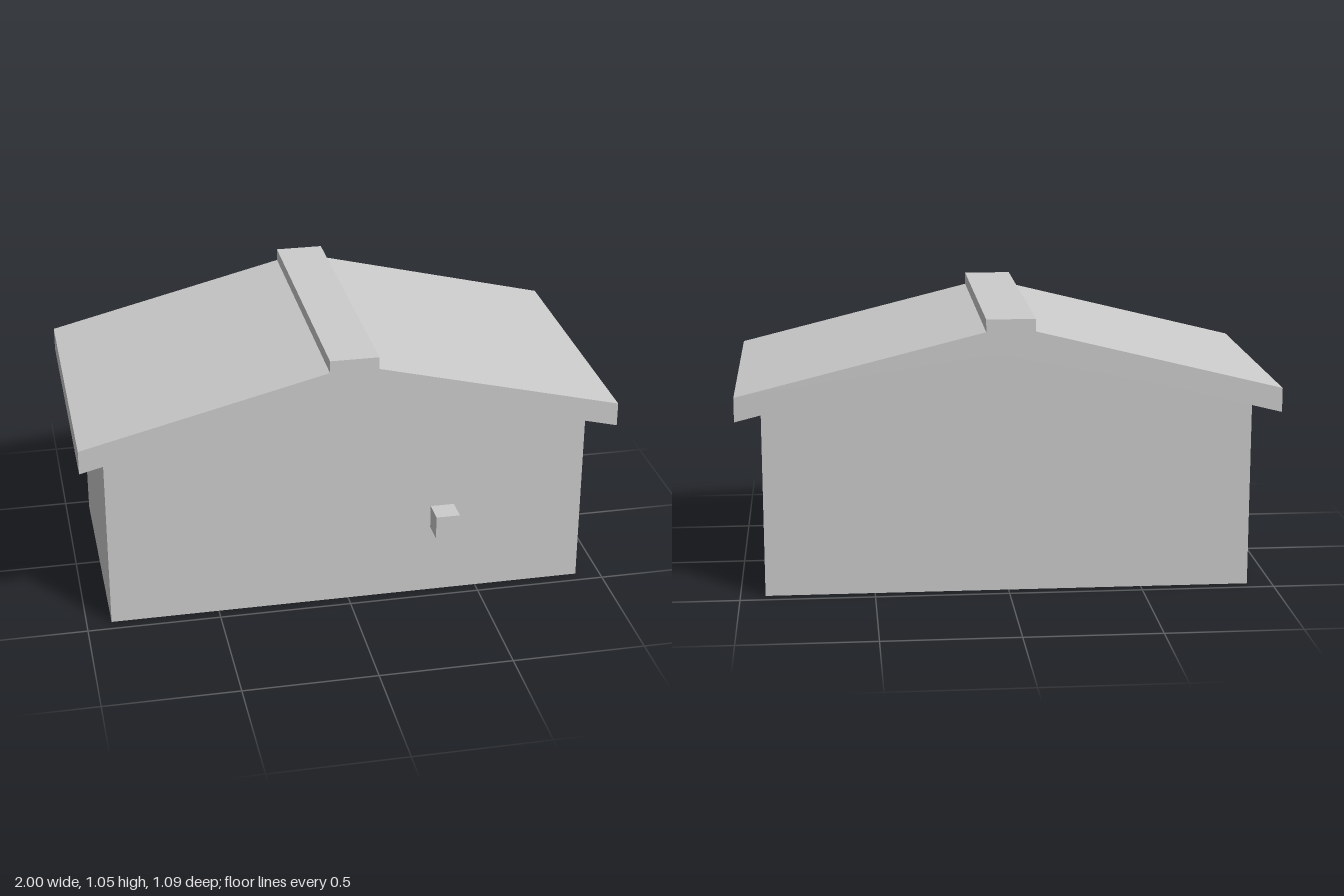
import * as THREE from 'three';

const material = new THREE.MeshStandardMaterial({ color: 0xcccccc, flatShading: true });

// Extrudes the right half of an outline, mirrored about x = 0, centred on z = 0
function gableSolid(name, half, depth) {
  const mirrored = half.map(([x, y]) => [-x, y]).reverse();
  const shape = new THREE.Shape([...half, ...mirrored].map(([x, y]) => new THREE.Vector2(x, y)));
  const geometry = new THREE.ExtrudeGeometry(shape, { depth, bevelEnabled: false });
  geometry.translate(0, 0, -depth / 2);
  const mesh = new THREE.Mesh(geometry, material);
  mesh.name = name;
  return mesh;
}

export function createModel() {
  const group = new THREE.Group();
  group.name = 'house';

  // Walls, with gables rising to the underside of the roof
  group.add(gableSolid('walls', [[0.907, 0], [0.907, 0.708], [0.09, 0.912]], 0.907));

  // Overhanging roof slab with a raised ridge cap
  group.add(gableSolid('roof', [
    [0.09, 0.912], [1, 0.685], [1, 0.775], [0.09, 1.0], [0.09, 1.046],
  ], 1.088));

  // Small block on the front wall
  const knob = new THREE.Mesh(new THREE.BoxGeometry(0.09, 0.09, 0.091), material);
  knob.name = 'frontKnob';
  knob.position.set(0.362, 0.32, 0.4985);
  group.add(knob);

  return group;
}
